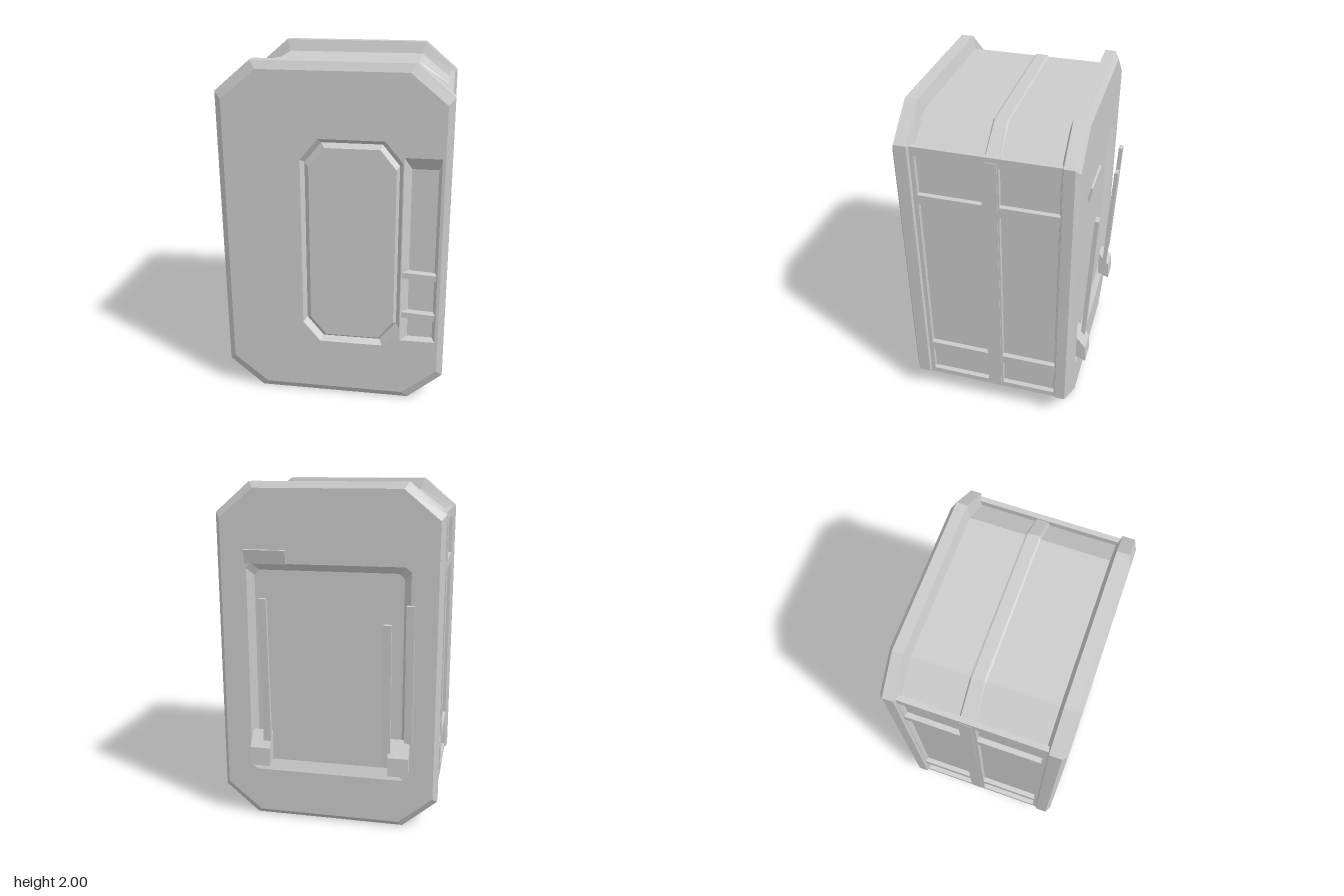
import * as THREE from 'three';

const material = new THREE.MeshStandardMaterial({ color: 0xcccccc, flatShading: true, side: THREE.DoubleSide });

// counterclockwise rectangle with cut corners (cx, cy = size of the cut)
function outline(x0, x1, y0, y1, cx = 0, cy = cx) {
  if (!cx) return [[x0, y0], [x1, y0], [x1, y1], [x0, y1]];
  return [[x0 + cx, y0], [x1 - cx, y0], [x1, y0 + cy], [x1, y1 - cy],
    [x1 - cx, y1], [x0 + cx, y1], [x0, y1 - cy], [x0, y0 + cy]];
}

const toPath = (pts, Type = THREE.Shape) => new Type(pts.map(p => new THREE.Vector2(...p)));

function add(parent, name, geometry, x = 0, y = 0, z = 0) {
  const mesh = new THREE.Mesh(geometry, material);
  mesh.name = name;
  mesh.position.set(x, y, z);
  parent.add(mesh);
  return mesh;
}

// walls joining a series of [outline, z] rings
function loft(rings) {
  const pos = [];
  for (let r = 0; r < rings.length - 1; r++) {
    const [a, za] = rings[r], [b, zb] = rings[r + 1];
    for (let i = 0; i < a.length; i++) {
      const j = (i + 1) % a.length;
      const A = [...a[i], za], B = [...a[j], za], C = [...b[j], zb], D = [...b[i], zb];
      pos.push(...A, ...B, ...C, ...A, ...C, ...D);
    }
  }
  const g = new THREE.BufferGeometry();
  g.setAttribute('position', new THREE.Float32BufferAttribute(pos, 3));
  g.computeVertexNormals();
  return g;
}

function face(parent, name, pts, z, holes = []) {
  const shape = toPath(pts);
  shape.holes = holes.map(h => toPath(h, THREE.Path));
  return add(parent, name, new THREE.ShapeGeometry(shape), 0, 0, z);
}

export function createModel() {
  const model = new THREE.Group();
  model.name = 'lockerPod';

  // main body and its middle belt
  const body = outline(-0.6, 0.6, 0.03, 1.93, 0.18, 0.14);
  add(model, 'body', loft([[body, -0.42], [body, 0.46]]));
  const belt = outline(-0.632, 0.632, 0.025, 1.935, 0.2, 0.14);
  add(model, 'middleBelt', loft([[body, -0.045], [belt, -0.035], [belt, 0.03], [body, 0.04]]));

  // framed panels on both sides
  for (const side of [1, -1]) {
    const rect = (z0, z1, y0, y1) => {
      const a = -side * z0, b = -side * z1;
      return outline(Math.min(a, b), Math.max(a, b), y0, y1);
    };
    const frame = toPath(rect(-0.42, 0.46, 0.165, 1.825));
    for (const [z0, z1] of [[0.05, 0.41], [-0.37, -0.045]]) {
      for (const [y0, y1] of [[0.2, 0.37], [0.43, 1.47], [1.53, 1.77]]) {
        frame.holes.push(toPath(rect(z0, z1, y0, y1), THREE.Path));
      }
    }
    const g = new THREE.ExtrudeGeometry(frame, { depth: 0.03, bevelEnabled: false });
    g.rotateY(side * Math.PI / 2);
    add(model, side > 0 ? 'leftSideFrame' : 'rightSideFrame', g, side * 0.6);
  }

  // front plate with bevelled rim
  const front = new THREE.Group();
  front.name = 'front';
  model.add(front);
  const rim = outline(-0.645, 0.645, 0.005, 2, 0.2, 0.17);
  const lip = outline(-0.61, 0.61, 0.045, 1.955, 0.2, 0.165);
  add(front, 'frontRim', loft([[body, 0.42], [rim, 0.44], [rim, 0.51], [lip, 0.532]]));

  // door set off by a V-shaped groove
  const doorOuter = outline(-0.18, 0.385, 0.355, 1.59, 0.1, 0.12);
  const doorGroove = outline(-0.16, 0.365, 0.38, 1.565, 0.095, 0.115);
  const doorInner = outline(-0.135, 0.35, 0.4, 1.54, 0.09, 0.11);
  add(front, 'doorGroove', loft([[doorOuter, 0.532], [doorGroove, 0.5], [doorInner, 0.525]]));
  face(front, 'door', doorInner, 0.525);

  // recessed strip beside the door
  const stripOuter = outline(0.39, 0.592, 0.4, 1.505);
  const stripInner = outline(0.43, 0.575, 0.405, 1.43);
  add(front, 'stripWalls', loft([[stripOuter, 0.532], [stripInner, 0.48]]));
  face(front, 'stripFloor', stripInner, 0.48);
  for (const y of [0.56, 0.81]) {
    const bar = add(front, 'stripBar', new THREE.BoxGeometry(0.19, 0.035, 0.045), 0.49, y, 0.505);
    bar.rotation.z = -0.06;
  }
  face(front, 'frontFace', lip, 0.532, [doorOuter, stripOuter]);

  // back plate, built facing +z and turned around
  const back = new THREE.Group();
  back.name = 'back';
  back.rotation.y = Math.PI;
  model.add(back);
  const backLip = outline(-0.62, 0.62, 0.035, 1.965, 0.2, 0.165);
  add(back, 'backRim', loft([[body, 0.36], [rim, 0.38], [rim, 0.44], [backLip, 0.465]]));
  const panelOuter = outline(-0.47, 0.47, 0.3, 1.55, 0.03);
  const panelInner = outline(-0.43, 0.43, 0.36, 1.51, 0.03);
  add(back, 'backPanelEdge', loft([[panelOuter, 0.465], [panelInner, 0.435]]));
  face(back, 'backPanel', panelInner, 0.435);
  face(back, 'backFace', backLip, 0.465, [panelOuter]);

  // slightly leaning rails on the back
  for (const [x, y, h] of [[-0.36, 0.93, 0.86], [0.35, 0.82, 0.84], [0.475, 0.95, 0.8]]) {
    const rail = add(back, 'backRail', new THREE.BoxGeometry(0.045, h, 0.025), x, y, 0.505);
    rail.rotation.x = 0.04;
  }

  // tapered rail feet and the upper tab
  for (const x of [-0.4, 0.42]) {
    const wedge = toPath([[0.45, 0.55], [0.45, 0.38], [0.525, 0.35], [0.52, 0.46]]);
    const g = new THREE.ExtrudeGeometry(wedge, { depth: 0.12, bevelEnabled: false });
    g.rotateY(-Math.PI / 2);
    add(back, 'railFoot', g, x + 0.06);
  }
  const tab = add(back, 'upperTab', new THREE.BoxGeometry(0.24, 0.08, 0.012), -0.35, 1.59, 0.49);
  tab.rotation.x = 0.2;

  return model;
}
